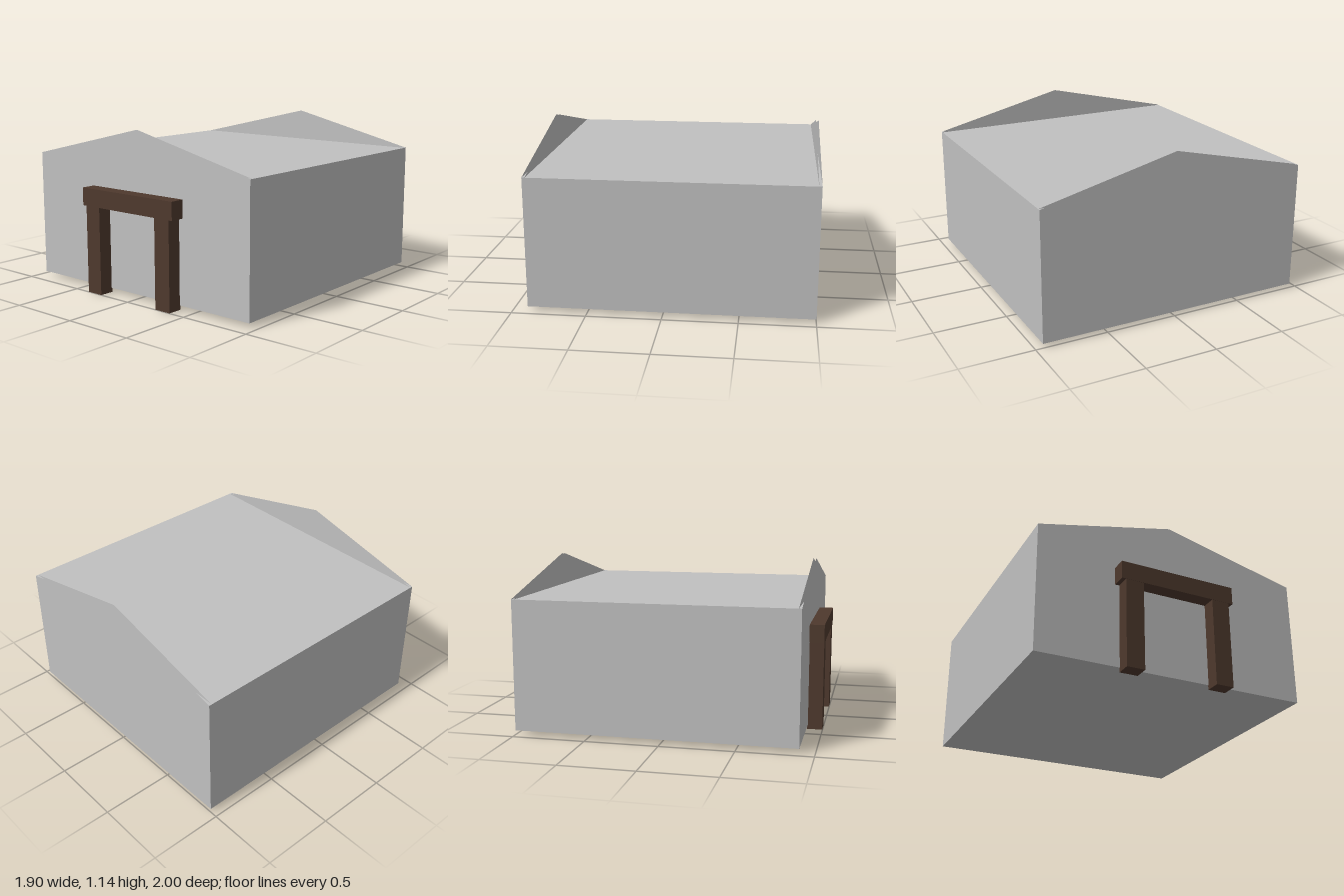
import * as THREE from 'three';

export function createModel() {
  const model = new THREE.Group();
  model.name = 'shed';

  const wallGrey = new THREE.MeshStandardMaterial({ color: 0xc0c0c0, side: THREE.DoubleSide });
  wallGrey.name = 'wall grey';
  const timberBrown = new THREE.MeshStandardMaterial({ color: 0x4e392d });
  timberBrown.name = 'timber brown';

  // Box given by its minimum and maximum corners
  function addBox(name, material, [x0, y0, z0], [x1, y1, z1]) {
    const mesh = new THREE.Mesh(new THREE.BoxGeometry(x1 - x0, y1 - y0, z1 - z0), material);
    mesh.position.set((x0 + x1) / 2, (y0 + y1) / 2, (z0 + z1) / 2);
    mesh.name = name;
    model.add(mesh);
  }

  // Main body with a flat roof
  const halfWidth = 0.95, eaves = 0.915, ridge = 1.14, front = 0.9, back = -1;
  addBox('body', wallGrey, [-halfWidth, 0.03, back], [halfWidth, eaves, front]);

  // Gables: an outer and an inner sheet above each end wall
  const triangle = new THREE.Shape([
    new THREE.Vector2(-halfWidth, eaves),
    new THREE.Vector2(halfWidth, eaves),
    new THREE.Vector2(0, ridge),
  ]);
  const gableGeometry = new THREE.ShapeGeometry(triangle);
  const gap = 0.02;
  for (const [name, z, inward] of [['frontGable', front, -1], ['backGable', back, 1]]) {
    const gable = new THREE.Group();
    gable.name = name;
    for (const offset of [0, gap * inward]) {
      const sheet = new THREE.Mesh(gableGeometry, wallGrey);
      sheet.name = offset === 0 ? 'outerSheet' : 'innerSheet';
      sheet.position.z = z + offset;
      gable.add(sheet);
    }
    model.add(gable);
  }

  // Timber door frame
  addBox('lintel', timberBrown, [-0.41, 0.607, 0.895], [0.41, 0.73, 1]);
  addBox('leftPost', timberBrown, [0.255, 0, 0.895], [0.38, 0.607, 0.998]);
  addBox('rightPost', timberBrown, [-0.38, 0, 0.895], [-0.255, 0.607, 0.998]);

  return model;
}
